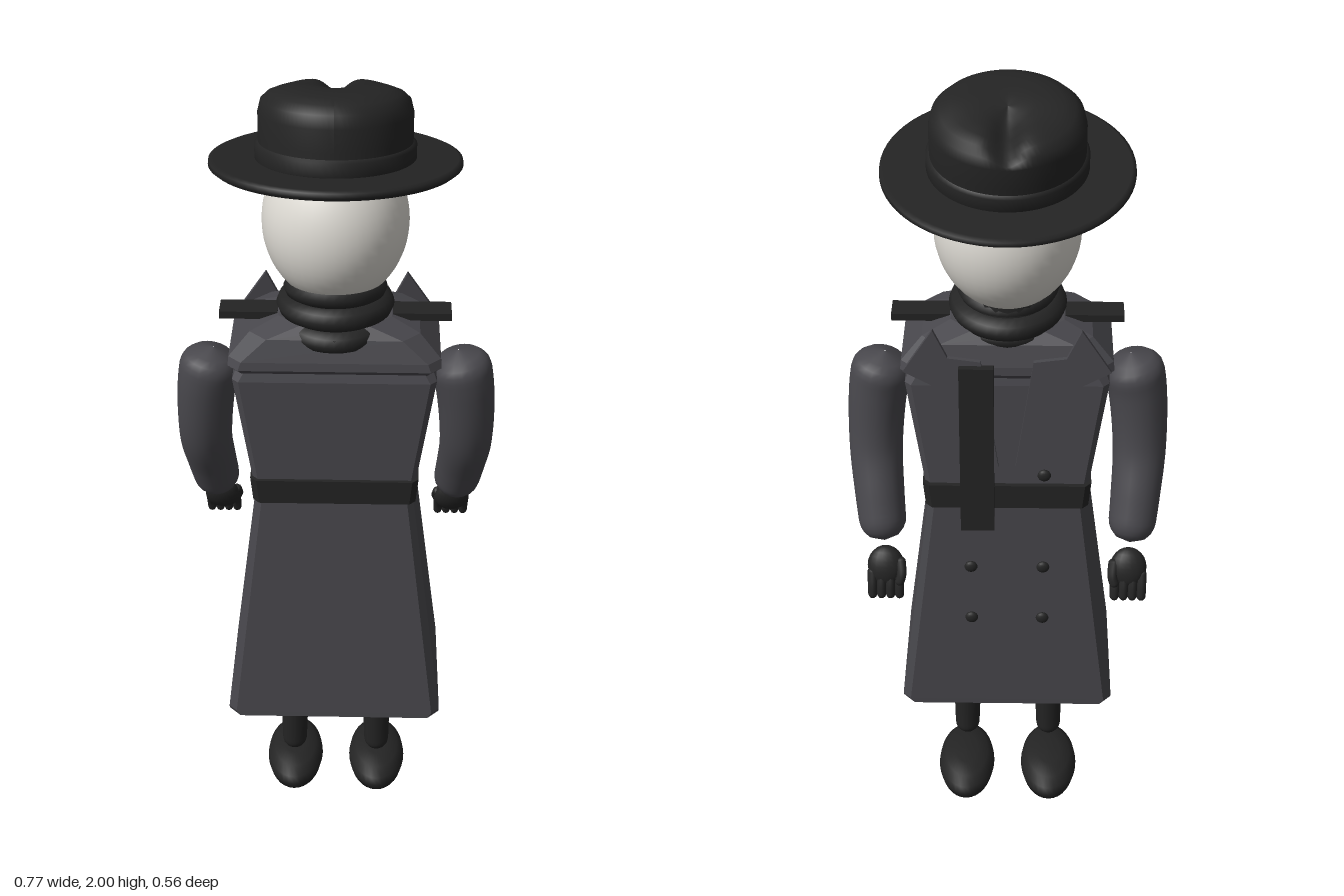
import * as THREE from 'three';
import { mergeVertices } from 'three/addons/utils/BufferGeometryUtils.js';

const mat = (name, color) => Object.assign(new THREE.MeshStandardMaterial({ color }), { name });

// Flat-faced body lofted through chamfered rectangles: [y, halfWidth, zPlus, zMinus, chamfer]
function loft(sections) {
  const rings = sections.map(([y, w, b, f, c]) => [
    [w, y, f + c], [w - c, y, f], [c - w, y, f], [-w, y, f + c],
    [-w, y, b - c], [c - w, y, b], [w - c, y, b], [w, y, b - c]]);
  const pos = [];
  const tri = (...p) => p.forEach(v => pos.push(...v));
  for (let r = 0; r < rings.length - 1; r++) {
    const lo = rings[r], hi = rings[r + 1];
    for (let i = 0; i < 8; i++) {
      const j = (i + 1) % 8;
      tri(lo[i], lo[j], hi[j]);
      tri(lo[i], hi[j], hi[i]);
    }
  }
  const bottom = rings[0], top = rings[rings.length - 1];
  for (let i = 1; i < 7; i++) {
    tri(top[0], top[i], top[i + 1]);
    tri(bottom[0], bottom[i + 1], bottom[i]);
  }
  const g = new THREE.BufferGeometry();
  g.setAttribute('position', new THREE.Float32BufferAttribute(pos, 3));
  g.computeVertexNormals();
  return g;
}

// Round-ended limb along a curve, radius blending from r0 to r1
function limb(points, r0, r1, cap = 0.1, sides = 16) {
  const n = 36;
  const curve = new THREE.CatmullRomCurve3(points.map(p => new THREE.Vector3(...p)));
  let g = new THREE.TubeGeometry(curve, n, 1, sides);
  const p = g.attributes.position, v = new THREE.Vector3();
  for (let i = 0; i <= n; i++) {
    const t = i / n, c = curve.getPointAt(t);
    const e = Math.max(0, 1 - Math.min(t, 1 - t) / cap);
    const r = (r0 + (r1 - r0) * t) * Math.max(0.02, Math.sqrt(1 - e * e));
    for (let j = 0; j <= sides; j++) {
      const k = i * (sides + 1) + j;
      v.fromBufferAttribute(p, k).sub(c).multiplyScalar(r).add(c);
      p.setXYZ(k, v.x, v.y, v.z);
    }
  }
  g.deleteAttribute('uv');
  g.deleteAttribute('normal');
  g = mergeVertices(g, 1e-5);
  g.computeVertexNormals();
  return g;
}

const lathe = (pts, seg = 64) => new THREE.LatheGeometry(pts.map(p => new THREE.Vector2(...p)), seg);

export function createModel() {
  const model = new THREE.Group();
  const coat = mat('coat grey', 0x48474c);
  const black = mat('black cloth', 0x242424);
  const pale = mat('pale face', 0xdcd9d2);

  const add = (name, geo, material, pos = [0, 0, 0], rot = [0, 0, 0], parent = model) => {
    const m = new THREE.Mesh(geo, material);
    m.name = name;
    m.position.set(...pos);
    m.rotation.set(...rot);
    parent.add(m);
    return m;
  };

  // Coat
  add('skirt', loft([
    [0.36, 0.25, 0.18, -0.155, 0.025], [0.375, 0.27, 0.197, -0.172, 0.03],
    [0.39, 0.27, 0.196, -0.172, 0.02], [1.03, 0.187, 0.143, -0.152, 0.015]]), coat);
  add('torso', loft([
    [1.01, 0.185, 0.143, -0.15, 0.012], [1.34, 0.235, 0.143, -0.127, 0.015],
    [1.365, 0.225, 0.135, -0.12, 0.02]]), coat);
  add('shoulderYoke', loft([
    [1.355, 0.228, 0.133, -0.12, 0.02], [1.37, 0.245, 0.143, -0.13, 0.025],
    [1.39, 0.243, 0.14, -0.128, 0.03], [1.44, 0.195, 0.122, -0.112, 0.04],
    [1.465, 0.13, 0.1, -0.09, 0.05]]), coat);
  add('belt', loft([
    [1.012, 0.194, 0.152, -0.16, 0.015], [1.075, 0.2, 0.152, -0.157, 0.015]]), black);

  // Scarf rings wound around the neck, with a hanging end and a folded tip
  add('neck', new THREE.CylinderGeometry(0.1, 0.11, 0.14, 24), black, [0, 1.47, 0]);
  [[1.53, 0.085, 0.034, -0.16, 0.02], [1.485, 0.098, 0.038, -0.08, 0.012], [1.442, 0.092, 0.036, 0.06, 0.015]]
    .forEach(([y, R, r, tilt, z]) => {
      const g = new THREE.TorusGeometry(R, r, 10, 36).rotateX(Math.PI / 2).scale(1, 0.8, 1.05);
      add('scarfRing', g, black, [0, y, z], [tilt, 0, 0]);
    });
  add('scarfTip', new THREE.ConeGeometry(1, 1, 4).scale(0.07, 0.05, 0.03), black, [0, 1.425, 0.115], [Math.PI, 0, 0]);
  add('scarfEnd', new THREE.BoxGeometry(0.08, 0.445, 0.02), black, [0.07, 1.178, -0.155], [0.055, 0, 0]);

  // Head
  add('head', new THREE.SphereGeometry(1, 40, 28).scale(0.166, 0.19, 0.177), pale, [0, 1.685, 0]);

  // Hat, tipped down toward -z
  const hat = new THREE.Group();
  hat.name = 'hat';
  hat.position.set(0, 1.825, 0);
  hat.rotation.x = -0.135;
  model.add(hat);
  add('hatBrim', lathe([[0, -0.01], [0.27, -0.012], [0.28, -0.004], [0.279, 0.006], [0.27, 0.01], [0.15, 0.008]]),
    black, [0, 0, 0], [0, 0, 0], hat);
  const crown = lathe([[0.17, 0], [0.17, 0.06], [0.17, 0.11], [0.163, 0.138], [0.145, 0.155],
    [0.12, 0.164], [0.09, 0.167], [0.06, 0.167], [0.03, 0.165], [0, 0.163]], 96);
  const cp = crown.attributes.position;
  for (let i = 0; i < cp.count; i++) {
    // Crease pressed into the -z half of the crown
    const x = cp.getX(i), y = cp.getY(i), z = cp.getZ(i);
    const reach = THREE.MathUtils.smoothstep(-z, -0.03, 0.08) * THREE.MathUtils.smoothstep(y, 0.1, 0.16);
    cp.setY(i, y - reach * (0.01 + 0.03 * Math.exp(-((x / 0.03) ** 2))));
  }
  crown.computeVertexNormals();
  add('hatCrown', crown, black, [0, 0, 0], [0, 0, 0], hat);
  add('hatBand', lathe([[0.17, 0.005], [0.178, 0.01], [0.178, 0.04], [0.17, 0.046]]), black, [0, 0, 0], [0, 0, 0], hat);

  // Mirrored parts
  const boot = lathe([[0, 0], [0.92, 0], [1, 0.025], [0.95, 0.045], [0.75, 0.063], [0.4, 0.071], [0, 0.072]], 32)
    .scale(0.076, 1, 0.128);
  for (const s of [1, -1]) {
    const side = s > 0 ? 'left' : 'right';

    add(side + 'Sleeve', limb([[s * 0.288, 1.352, 0], [s * 0.308, 1.25, -0.002], [s * 0.318, 1.1, -0.024],
      [s * 0.311, 0.99, -0.072], [s * 0.3, 0.88, -0.122]], 0.073, 0.056, 0.11, 20), coat);

    // Gloved hand with fingers and thumb
    const hand = new THREE.Group();
    hand.name = side + 'Hand';
    model.add(hand);
    add('palm', new THREE.SphereGeometry(1, 18, 12).scale(0.045, 0.05, 0.026), black,
      [s * 0.297, 0.828, -0.155], [0.4, 0, 0], hand);
    for (let i = 0; i < 4; i++) {
      const x = s * (0.264 + i * 0.022);
      add('finger', limb([[x, 0.825, -0.16], [x, 0.785, -0.182], [x, 0.752, -0.192]], 0.0125, 0.011, 0.15, 8),
        black, [0, 0, 0], [0, 0, 0], hand);
    }
    add('thumb', limb([[s * 0.262, 0.85, -0.15], [s * 0.258, 0.815, -0.178], [s * 0.266, 0.79, -0.188]],
      0.013, 0.011, 0.15, 8), black, [0, 0, 0], [0, 0, 0], hand);

    // Leg and boot
    add(side + 'Leg', limb([[s * 0.11, 0.44, 0.007], [s * 0.11, 0.27, 0.007], [s * 0.112, 0.1, 0.006]],
      0.041, 0.032, 0.09), black);
    add(side + 'Boot', boot, black, [s * 0.113, 0, -0.043]);

    // Floating shoulder strap
    add(side + 'ShoulderStrap', new THREE.BoxGeometry(0.135, 0.018, 0.06), black, [s * 0.2, 1.457, 0.008]);

    // Peaked lapel, set just proud of the chest
    const lapel = new THREE.Shape([[0.02, 0.03], [0.145, 0.235], [0.237, 0.285], [0.168, 0.39], [0.135, 0.32], [0.06, 0.31]]
      .map(([x, y]) => new THREE.Vector2(s * x, y)));
    add(side + 'Lapel', new THREE.ExtrudeGeometry(lapel, { depth: 0.012, bevelEnabled: false }), coat,
      [0, 1.1, -0.158], [0.07, 0, 0]);

    // Double row of buttons
    [[0.67, -0.167], [0.83, -0.161], [1.1, -0.147]].forEach(([y, z]) =>
      add('button', new THREE.SphereGeometry(1, 14, 10).scale(0.016, 0.016, 0.009), black, [s * 0.088, y, z]));
  }
  return model;
}
